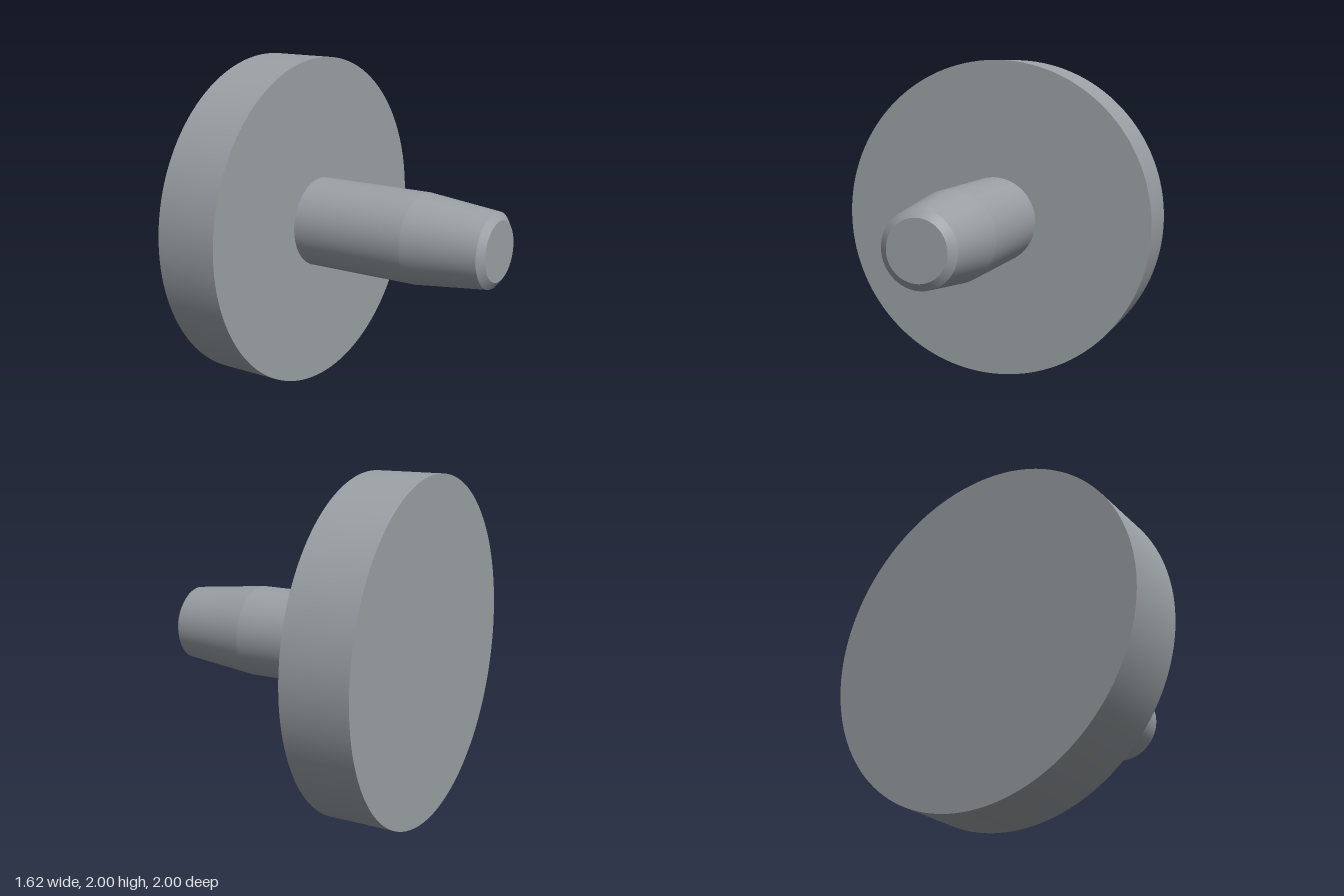
import * as THREE from 'three';

const SEGMENTS = 128;

export function createModel() {
  const model = new THREE.Group();
  model.name = 'flangedPin';
  const steel = new THREE.MeshStandardMaterial({ color: 0x9aa0a4 });
  steel.name = 'steel grey';

  // A round section along x, from x0 (radius r0) to x1 (radius r1)
  function section(parent, name, x0, r0, x1, r1, open = true) {
    const geometry = new THREE.CylinderGeometry(r1, r0, x1 - x0, SEGMENTS, 1, open);
    geometry.rotateZ(-Math.PI / 2);
    geometry.translate((x0 + x1) / 2, 0, 0);
    const mesh = new THREE.Mesh(geometry, steel);
    mesh.name = name;
    parent.add(mesh);
  }

  // Wide disc with flat faces
  section(model, 'flangeDisc', -0.81, 1, -0.413, 1, false);

  // Pin: straight shank, tapered nose, chamfered tip and flat end
  const pin = new THREE.Group();
  pin.name = 'pin';
  section(pin, 'shank', -0.413, 0.272, 0.315, 0.272);
  section(pin, 'taperedNose', 0.315, 0.272, 0.773, 0.222);
  section(pin, 'tipChamfer', 0.773, 0.222, 0.808, 0.177);

  const endFace = new THREE.Mesh(new THREE.CircleGeometry(0.177, SEGMENTS).rotateY(Math.PI / 2), steel);
  endFace.name = 'endFace';
  endFace.position.x = 0.808;
  pin.add(endFace);
  model.add(pin);

  // Stand the disc on the ground
  model.children.forEach((part) => { part.position.y = 1; });
  return model;
}
